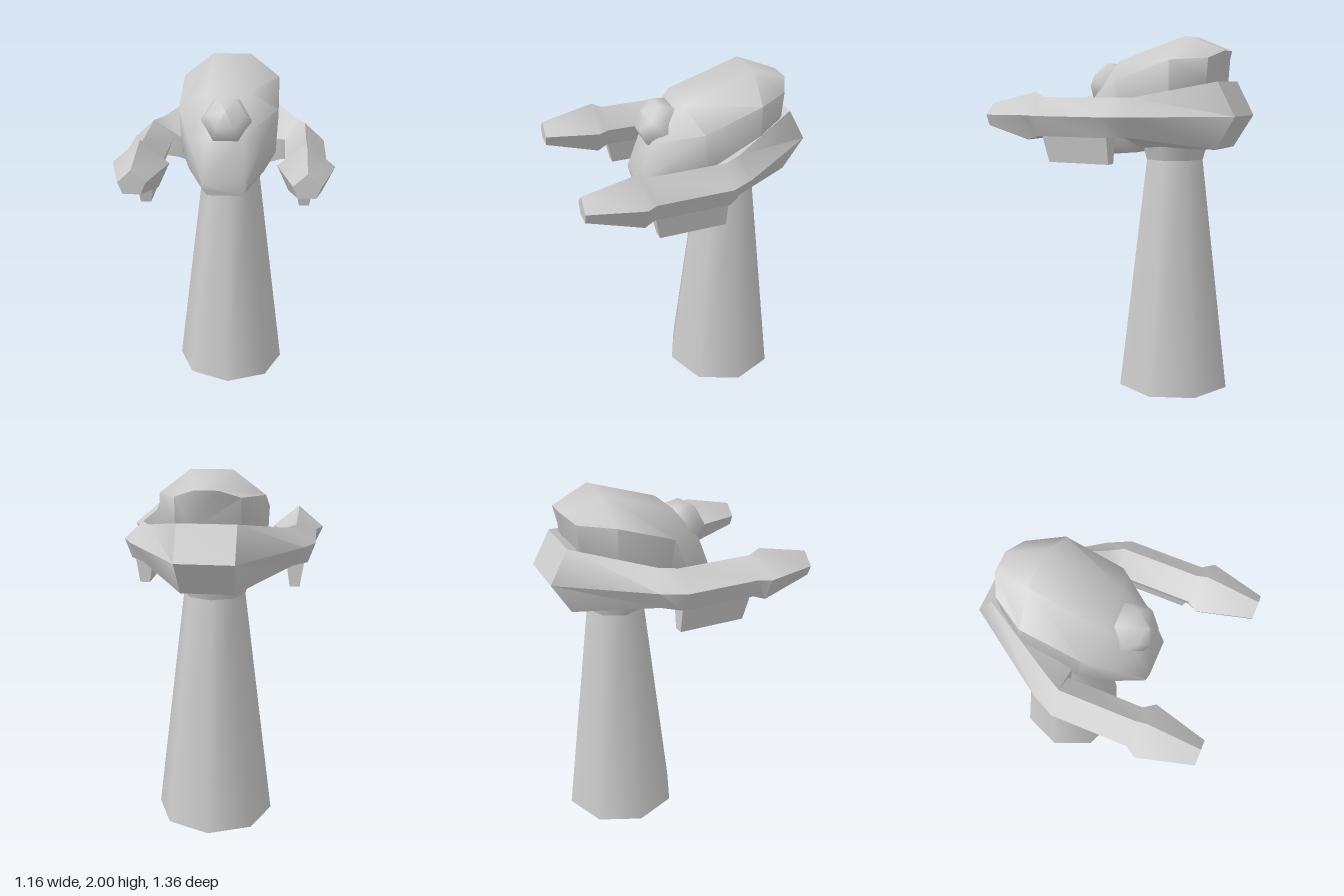
import * as THREE from 'three';
import { toCreasedNormals } from 'three/addons/utils/BufferGeometryUtils.js';

const material = new THREE.MeshStandardMaterial({ color: 0xcccccc });
const openMaterial = new THREE.MeshStandardMaterial({ color: 0xcccccc, side: THREE.DoubleSide });

// Skins a row of closed cross-sections (counterclockwise seen from the first end) and caps both ends
function loft(rings, crease) {
  const n = rings[0].length, last = (rings.length - 1) * n, index = [];
  for (let i = 0; i < rings.length - 1; i++) {
    for (let j = 0; j < n; j++) {
      const a = i * n + j, b = i * n + (j + 1) % n;
      index.push(a, a + n, b, b, a + n, b + n);
    }
  }
  for (let j = 1; j < n - 1; j++) {
    index.push(0, j, j + 1, last, last + j + 1, last + j);
  }
  const geometry = new THREE.BufferGeometry();
  geometry.setAttribute('position', new THREE.Float32BufferAttribute(rings.flat(2), 3));
  geometry.setIndex(index);
  return toCreasedNormals(geometry, crease);
}

const mirrorX = ([x, y, z]) => [-x, y, z];

export function createModel() {
  const model = new THREE.Group();
  const add = (name, geometry, mat = material) => {
    const mesh = new THREE.Mesh(geometry, mat);
    mesh.name = name;
    model.add(mesh);
    return mesh;
  };

  // Tapered eight-sided pedestal, open underneath, with a flared collar
  add('pedestal', new THREE.CylinderGeometry(0.17, 0.333, 1.32, 8, 1, true), openMaterial)
    .position.set(0, 0.66, -0.268);
  add('collar', new THREE.CylinderGeometry(0.195, 0.17, 0.08, 8, 1, true), openMaterial)
    .position.set(0, 1.36, -0.268);

  // Head: half sections from bottom to top, front to back
  const headHalves = [
    [[0.10, 1.35, 0.26], [0.12, 1.38, 0.265], [0.125, 1.42, 0.275], [0.10, 1.45, 0.285]],
    [[0.12, 1.34, 0.10], [0.21, 1.45, 0.12], [0.20, 1.60, 0.14], [0.10, 1.67, 0.20]],
    [[0.15, 1.36, -0.10], [0.27, 1.50, -0.06], [0.28, 1.76, -0.03], [0.12, 1.87, 0.03]],
    [[0.15, 1.50, -0.35], [0.28, 1.62, -0.35], [0.28, 1.87, -0.35], [0.11, 2.00, -0.37]],
    [[0.10, 1.70, -0.52], [0.17, 1.74, -0.52], [0.17, 1.88, -0.53], [0.06, 1.92, -0.58]],
  ];
  const headRings = headHalves.map((half) => [...half, ...half.map(mirrorX).reverse()]);
  add('head', loft(headRings, 0.95));

  // Six-sided domed eye on the sloping face
  const eyeProfile = [[0.135, -0.06], [0.137, 0.045], [0.10, 0.115], [0, 0.145]]
    .map(([r, h]) => new THREE.Vector2(r, h));
  const eye = add('eye', new THREE.LatheGeometry(eyeProfile, 6, Math.PI / 2));
  eye.position.set(0, 1.72, 0.115);
  eye.rotation.x = 0.86;

  // Pentagonal barrel section: ridge, inner, bottom inner, bottom outer, outer
  const barrel = (z, w, top, mid, bottom, wb) => [
    [0.432, top, z], [0.432 - w, mid, z], [0.432 - wb, bottom, z],
    [0.432 + wb, bottom, z], [0.432 + w, mid, z],
  ];

  // Horseshoe body: one arm from muzzle to back, then mirrored
  const armRings = [
    barrel(0.68, 0.07, 1.635, 1.57, 1.51, 0.045),
    barrel(0.388, 0.15, 1.70, 1.575, 1.44, 0.088),
    barrel(0.328, 0.11, 1.67, 1.57, 1.46, 0.07),
    barrel(-0.085, 0.11, 1.67, 1.57, 1.46, 0.07),
    [[0.38, 1.67, -0.18], [0.28, 1.57, -0.09], [0.30, 1.45, -0.09], [0.42, 1.46, -0.18], [0.48, 1.57, -0.21]],
    [[0.155, 1.755, -0.58], [0.15, 1.57, -0.15], [0.16, 1.39, -0.13], [0.14, 1.39, -0.57], [0.155, 1.57, -0.68]],
  ];
  const mirroredRings = armRings.map((ring) => ring.map(mirrorX)).reverse();
  add('armsAndBack', loft([...armRings, ...mirroredRings], 0.7));

  // Tapered fin hanging under each arm
  for (const [name, side] of [['leftFin', 1], ['rightFin', -1]]) {
    const fin = new THREE.BoxGeometry(1, 1, 1);
    const p = fin.attributes.position;
    for (let i = 0; i < p.count; i++) {
      const low = p.getY(i) < 0;
      const x = Math.sign(p.getX(i)) * (low ? 0.028 : 0.055);
      const front = low ? 0.29 : 0.325;
      p.setXYZ(i, side * 0.432 + x, low ? 1.315 : 1.49, p.getZ(i) > 0 ? front : -0.082);
    }
    fin.computeVertexNormals();
    add(name, fin);
  }

  return model;
}
